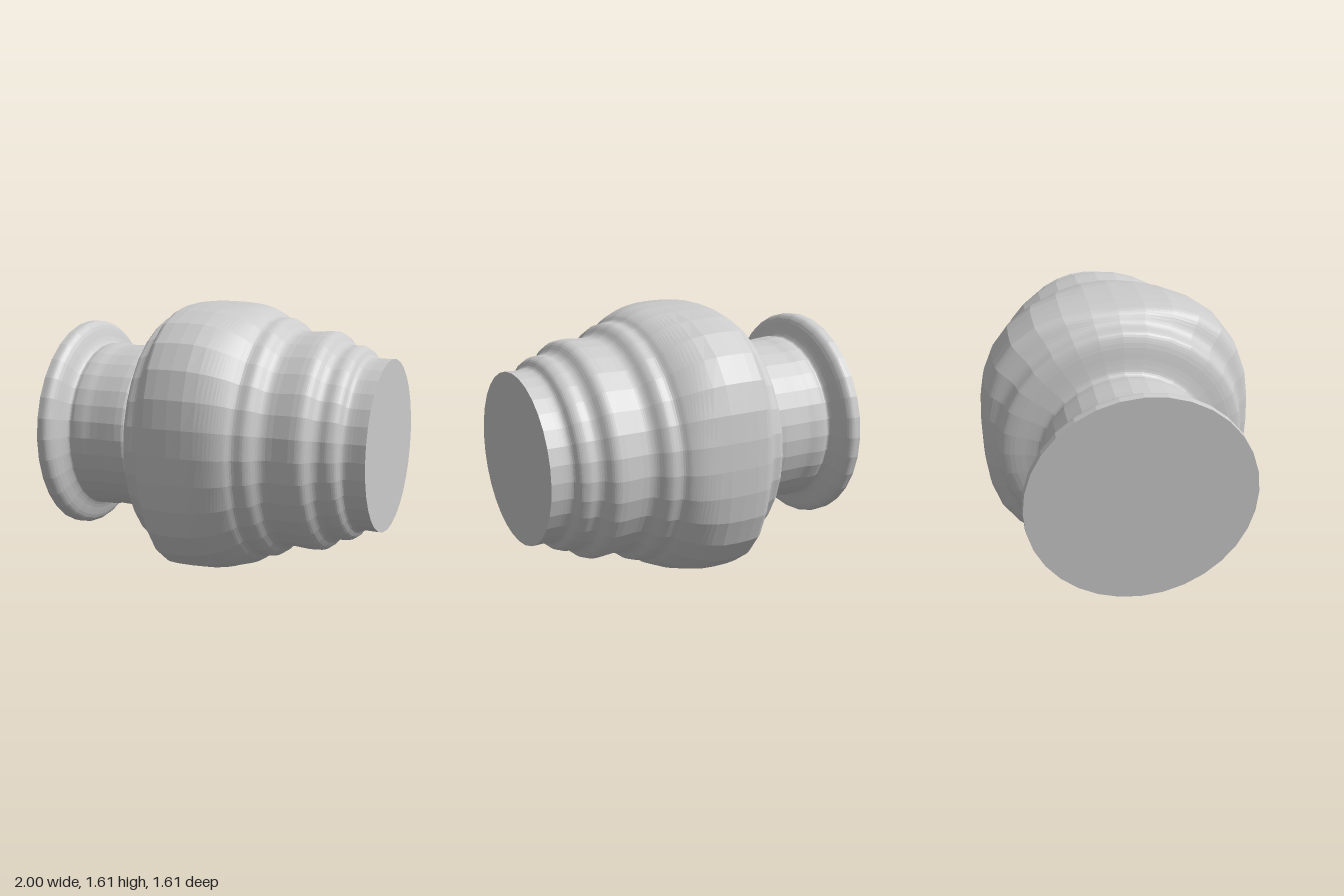
import * as THREE from 'three';

const AXIS_HEIGHT = 0.8;
const SIDES = 32;

// Outline along the axis: [position, radius]
const OUTLINE = [
  [-1, 0.655], [-0.95, 0.655], [-0.92, 0.63], [-0.88, 0.54], [-0.86, 0.515],
  [-0.83, 0.52], [-0.78, 0.52], [-0.72, 0.512], [-0.51, 0.51], [-0.475, 0.49],
  [-0.45, 0.5], [-0.43, 0.55], [-0.4, 0.67], [-0.37, 0.72], [-0.31, 0.73],
  [-0.29, 0.74], [-0.25, 0.785], [-0.21, 0.8], [0.1, 0.8], [0.2, 0.785],
  [0.26, 0.76], [0.3, 0.73], [0.36, 0.722], [0.39, 0.705], [0.43, 0.665],
  [0.47, 0.65], [0.64, 0.655], [0.68, 0.64], [0.72, 0.595], [0.75, 0.58],
  [0.8, 0.578], [0.84, 0.56], [0.87, 0.52], [0.9, 0.51], [1, 0.51],
];

// The belly bulges on its diagonals, where it is slightly square
function squareness(x) {
  const { smoothstep } = THREE.MathUtils;
  return 0.09 * smoothstep(x, -0.36, -0.2) * (1 - smoothstep(x, -0.02, 0.32));
}

function createBody() {
  const curve = new THREE.CatmullRomCurve3(
    OUTLINE.map(([x, r]) => new THREE.Vector3(r, x, 0)), false, 'centripetal');
  const profile = curve.getPoints((OUTLINE.length - 1) * 4)
    .map((p) => new THREE.Vector2(p.x, p.y));

  // Flat end caps
  profile.unshift(new THREE.Vector2(0, -1));
  profile.push(new THREE.Vector2(0, 1));

  const geometry = new THREE.LatheGeometry(profile, SIDES);
  geometry.rotateZ(-Math.PI / 2);

  // Swell the diagonals of the belly
  const pos = geometry.attributes.position;
  for (let i = 0; i < pos.count; i++) {
    const x = pos.getX(i), y = pos.getY(i), z = pos.getZ(i);
    const diagonal = Math.sin(2 * Math.atan2(z, y)) ** 2;
    const scale = 1 + squareness(x) * diagonal;
    pos.setXYZ(i, x, y * scale, z * scale);
  }
  geometry.computeVertexNormals();
  return geometry;
}

export function createModel() {
  const group = new THREE.Group();
  group.name = 'turnedFitting';

  const material = new THREE.MeshStandardMaterial({ color: 0xcccccc, flatShading: true });
  const body = new THREE.Mesh(createBody(), material);
  body.name = 'steppedBody';
  body.position.y = AXIS_HEIGHT;
  group.add(body);

  return group;
}
